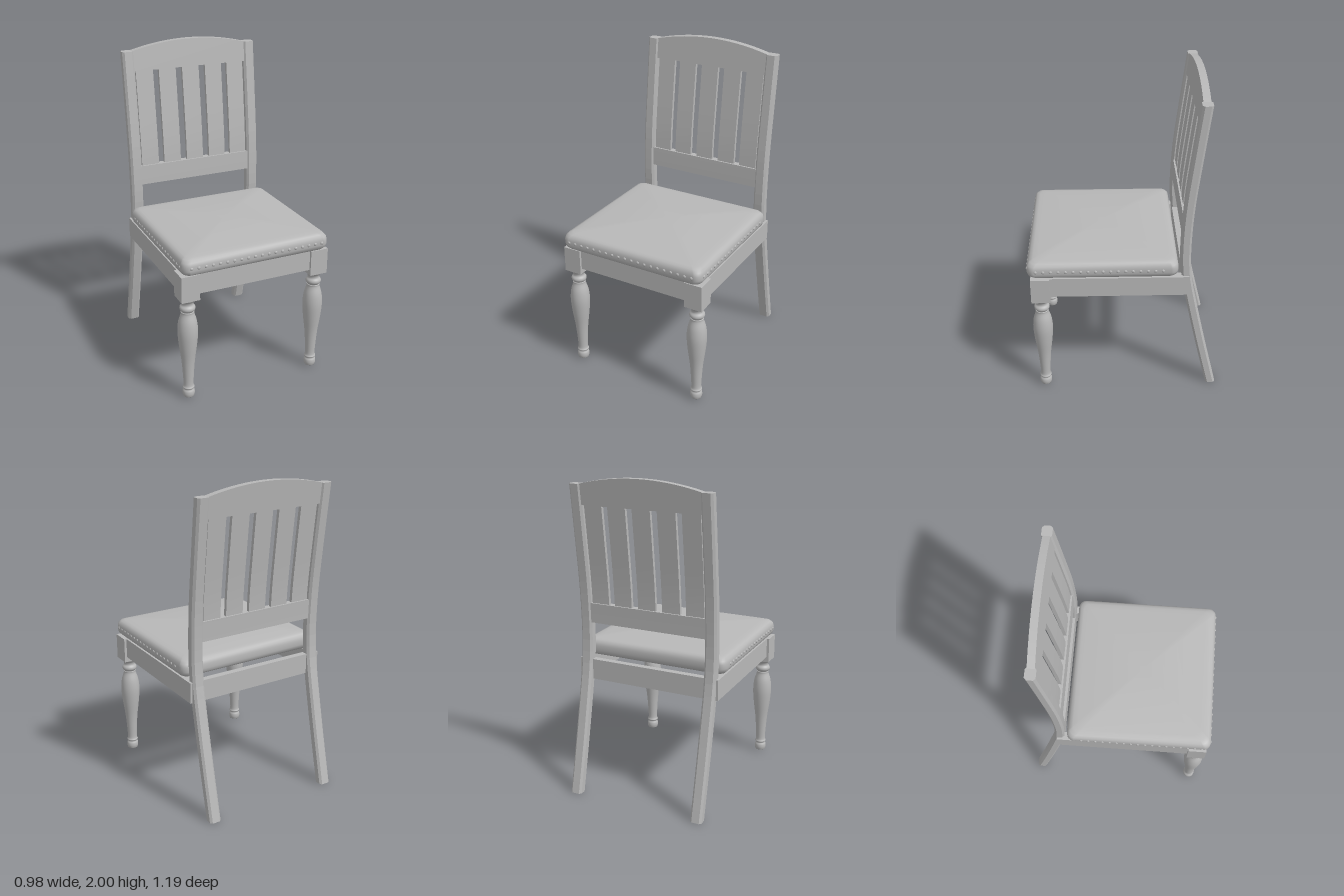
import * as THREE from 'three';

export function createModel() {
  const chair = new THREE.Group();
  chair.name = 'chair';
  const grey = new THREE.MeshStandardMaterial({ color: 0xb8b8b8 });
  grey.name = 'plain grey';

  const add = (name, geometry, x = 0, y = 0, z = 0) => {
    const mesh = new THREE.Mesh(geometry, grey);
    mesh.name = name;
    mesh.position.set(x, y, z);
    chair.add(mesh);
    return mesh;
  };
  // Box given by its limits
  const block = (name, x0, x1, y0, y1, z0, z1) =>
    add(name, new THREE.BoxGeometry(x1 - x0, y1 - y0, z1 - z0), (x0 + x1) / 2, (y0 + y1) / 2, (z0 + z1) / 2);

  // Depth of the curved back at each height (x holds depth)
  const backCurve = new THREE.SplineCurve([
    [-0.565, 0], [-0.482, 0.35], [-0.406, 0.7], [-0.38, 0.85], [-0.37, 1.03],
    [-0.381, 1.3], [-0.413, 1.6], [-0.455, 1.95], [-0.461, 2.0],
  ].map(([z, y]) => new THREE.Vector2(z, y)));
  const backLine = backCurve.getPoints(160);
  const backZ = (y) => {
    const i = Math.max(1, backLine.findIndex((p) => p.y >= y - 1e-6));
    const a = backLine[i - 1], b = backLine[i];
    return a.x + (b.x - a.x) * (y - a.y) / (b.y - a.y);
  };
  const bend = (geometry) => {
    const p = geometry.attributes.position;
    for (let i = 0; i < p.count; i++) {
      const y = Math.min(2, Math.max(0, p.getY(i)));
      p.setZ(i, p.getZ(i) + backZ(y));
    }
    geometry.computeVertexNormals();
    return geometry;
  };

  // Back posts running down into the rear legs, with chamfered edges
  const w = 0.0375, d = 0.031, c = 0.013;
  const section = new THREE.Shape([
    [w - c, -d], [w, -d + c], [w, d - c], [w - c, d],
    [-w + c, d], [-w, d - c], [-w, -d + c], [-w + c, -d],
  ].map(([x, y]) => new THREE.Vector2(x, y)));
  for (const s of [-1, 1]) {
    const post = new THREE.ExtrudeGeometry(section, { depth: 1.95, steps: 26, bevelEnabled: false });
    post.rotateX(-Math.PI / 2);
    add(s > 0 ? 'leftBackPost' : 'rightBackPost', bend(post), s * 0.4175);
  }

  // Arched top rail
  const arch = new THREE.Shape();
  arch.moveTo(-0.39, 1.825);
  arch.lineTo(0.39, 1.825);
  arch.lineTo(0.39, 1.95);
  arch.quadraticCurveTo(0, 2.05, -0.39, 1.95);
  const topRail = new THREE.ExtrudeGeometry(arch, { depth: 0.044, bevelEnabled: false, curveSegments: 24 });
  topRail.translate(0, 0, -0.022);
  add('topRail', bend(topRail));

  // Lower back rail and the five slats
  const bentBox = (name, x, width, y0, y1, depth, steps) => {
    const g = new THREE.BoxGeometry(width, y1 - y0, depth, 1, steps, 1);
    g.translate(x, (y0 + y1) / 2, 0);
    add(name, bend(g));
  };
  bentBox('lowerBackRail', 0, 0.78, 1.09, 1.215, 0.044, 3);
  for (const x of [-0.315, -0.16, 0, 0.16, 0.315]) bentBox('backSlat', x, 0.116, 1.2, 1.84, 0.022, 10);

  // Seat frame
  block('frontApron', -0.38, 0.38, 0.72, 0.85, 0.5, 0.55);
  block('rearApron', -0.42, 0.42, 0.72, 0.85, -0.395, -0.355);
  for (const s of [-1, 1]) {
    const [a, b] = s > 0 ? [0.417, 0.469] : [-0.469, -0.417];
    block('sideApron', a, b, 0.72, 0.85, -0.395, 0.46);
  }

  // Front legs: square block over a turned leg
  const profile = new THREE.SplineCurve([
    [0.033, 0.012], [0.038, 0.03], [0.037, 0.05], [0.031, 0.064], [0.037, 0.075], [0.031, 0.092],
    [0.033, 0.15], [0.041, 0.26], [0.055, 0.37], [0.062, 0.46], [0.056, 0.53], [0.041, 0.582],
    [0.041, 0.597], [0.037, 0.6], [0.047, 0.615], [0.046, 0.63], [0.036, 0.645], [0.038, 0.662],
    [0.049, 0.678], [0.049, 0.69],
  ].map(([r, y]) => new THREE.Vector2(r, y))).getPoints(76);
  profile.unshift(new THREE.Vector2(0, 0.012));
  for (const s of [-1, 1]) {
    const x = s * 0.427;
    block('frontLegBlock', x - 0.058, x + 0.058, 0.685, 0.85, 0.449, 0.565);
    add('frontLeg', new THREE.LatheGeometry(profile, 28), x, 0, 0.507);
  }

  // Domed cushion from rounded-rectangle rings: [inset, height]
  const hx = 0.48, hz = 0.457, cz = 0.128, r = 0.045;
  const outline = [];
  for (let k = 0; k < 4; k++) {
    const sx = k === 0 || k === 3 ? 1 : -1, sz = k < 2 ? 1 : -1;
    for (let j = 0; j <= 6; j++) {
      const t = (k + j / 6) * Math.PI / 2;
      outline.push([sx * (hx - r) + r * Math.cos(t), sz * (hz - r) + r * Math.sin(t)]);
    }
  }
  const rings = [[0.457, 0.85], [0.06, 0.85], [0.038, 0.85], [0.018, 0.856], [0.005, 0.87], [0, 0.89], [0, 0.918],
    [0.005, 0.938], [0.018, 0.953], [0.038, 0.96], [0.07, 0.963], [0.15, 0.971], [0.25, 0.979], [0.35, 0.984], [0.457, 0.986]];
  const n = outline.length, verts = [], faces = [];
  rings.forEach(([inset, y], i) => {
    const kx = 1 - inset / hz * (inset > 0.1 ? 1 : hz / hx), kz = 1 - inset / hz;
    outline.forEach(([x, z], j) => {
      verts.push(x * kx, y, z * kz + cz);
      if (i === 0) return;
      const a = (i - 1) * n + j, b = (i - 1) * n + (j + 1) % n;
      faces.push(a, a + n, b, b, a + n, b + n);
    });
  });
  const cushion = new THREE.BufferGeometry();
  cushion.setAttribute('position', new THREE.Float32BufferAttribute(verts, 3));
  cushion.setIndex(faces);
  cushion.computeVertexNormals();
  // Collapsed centre points face straight down and up
  for (let j = 0; j < n; j++) {
    cushion.attributes.normal.setXYZ(j, 0, -1, 0);
    cushion.attributes.normal.setXYZ((rings.length - 1) * n + j, 0, 1, 0);
  }
  add('seatCushion', cushion);

  // Upholstery nails along the front and both sides
  const nail = new THREE.SphereGeometry(0.01, 10, 8);
  for (let i = 0; i < 20; i++) add('frontNail', nail, -0.428 + i * 0.045, 0.905, cz + hz).scale.z = 0.6;
  for (const s of [-1, 1]) {
    for (let i = 0; i < 18; i++) add('sideNail', nail, s * hx, 0.905, 0.53 - i * 0.045).scale.x = 0.6;
  }
  return chair;
}
